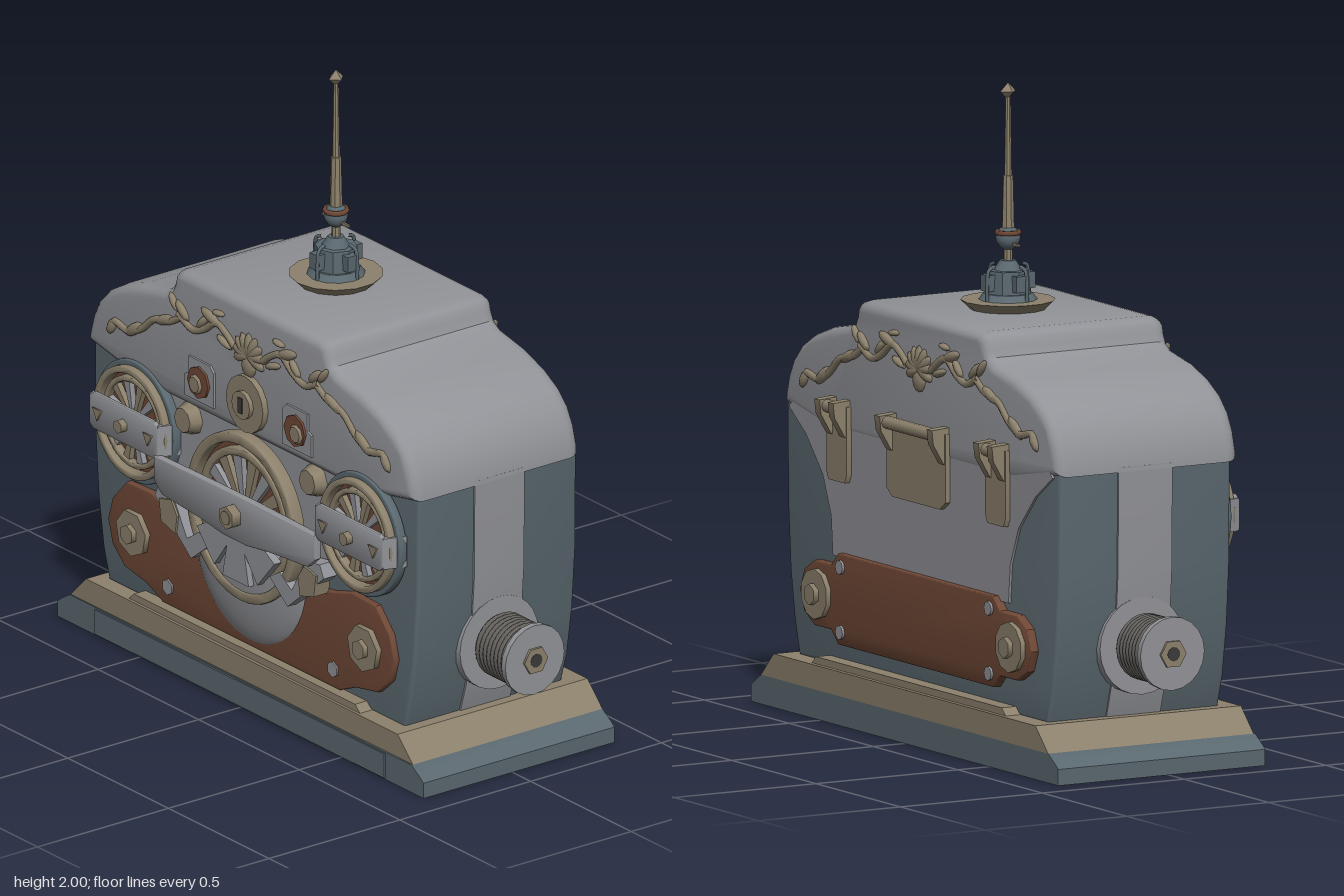
import * as THREE from 'three';
import { toCreasedNormals } from 'three/addons/utils/BufferGeometryUtils.js';

const mat = (name, color) => { const m = new THREE.MeshStandardMaterial({ color }); m.name = name; return m; };

export function createModel() {
  const root = new THREE.Group();
  root.name = 'clockworkMachine';
  const grey = mat('light grey metal', 0x929398), slate = mat('slate blue metal', 0x5a686f);
  const tan = mat('aged brass', 0x8c816c), rust = mat('rust brown', 0x704836);
  const coil = mat('dark coil', 0x66635f), dark = mat('dark hole', 0x3a3a3a);

  const add = (name, geo, m, x = 0, y = 0, z = 0, parent = root) => {
    const mesh = new THREE.Mesh(geo, m);
    mesh.name = name;
    mesh.position.set(x, y, z);
    parent.add(mesh);
    return mesh;
  };
  const box = (w, h, d) => new THREE.BoxGeometry(w, h, d);
  // Short cylinder whose axis lies along z or x
  const discZ = (r, d, n = 24, r2 = r) => new THREE.CylinderGeometry(r2, r, d, n).rotateX(Math.PI / 2);
  const discX = (r, d, n = 24) => new THREE.CylinderGeometry(r, r, d, n).rotateZ(Math.PI / 2);
  // Outline from points, optionally completed by mirroring in x
  const outline = (pts, mirror = true) => new THREE.Shape(
    (mirror ? [...pts, ...pts.map(([x, y]) => [-x, y]).reverse()] : pts).map(p => new THREE.Vector2(...p)));
  const extrude = (shape, z0, z1, bevel = 0, size = bevel) => toCreasedNormals(new THREE.ExtrudeGeometry(shape, {
    depth: z1 - z0 - 2 * bevel, bevelEnabled: bevel > 0, bevelThickness: bevel, bevelSize: size,
    bevelOffset: -size, bevelSegments: 4, curveSegments: 24 }).translate(0, 0, z0 + bevel), 0.6);
  const circle = (x, y, r) => new THREE.Path().absarc(x, y, r, 0, Math.PI * 2);
  const ring = (r0, r1, d) => {
    const s = new THREE.Shape().absarc(0, 0, r1, 0, Math.PI * 2);
    s.holes.push(circle(0, 0, r0));
    return extrude(s, 0, d, 0.005);
  };
  const tube = (pts, r, n = 20) => new THREE.TubeGeometry(
    new THREE.CatmullRomCurve3(pts.map(p => new THREE.Vector3(...p))), n, r, 6);

  // Stepped plinth
  add('plinthFoot', extrude(outline([[0.91, 0], [0.91, 0.05], [0.89, 0.065], [0.85, 0.09]]), -0.39, 0.34), slate);
  add('plinthSlope', extrude(outline([[0.85, 0.09], [0.82, 0.12], [0.795, 0.145], [0.775, 0.165]]), -0.39, 0.335), tan);
  add('frontLedge', extrude(outline([[0.58, 0.16], [0.55, 0.187]]), 0.27, 0.325), tan);
  add('backLedge', extrude(outline([[0.58, 0.16], [0.55, 0.187]]), -0.375, -0.31), tan);
  add('plinthFrontPanel', box(1.44, 0.08, 0.008), slate, 0, 0.045, 0.341);

  // Tapering case with a light band on each side
  const side = [[0.735, 0.16], [0.765, 0.26], [0.79, 0.42], [0.805, 0.62], [0.808, 0.94]];
  add('caseBody', extrude(outline(side), -0.325, 0.28, 0.012), slate);
  add('sideBand', extrude(outline(side.map(([x, y]) => [x + 0.006, y])), -0.12, 0.07), grey);

  // Domed lid
  const lid = [[0.55, 0.875], [0.815, 0.925], [0.812, 0.96], [0.795, 1.02], [0.765, 1.075], [0.72, 1.12],
    [0.65, 1.16], [0.55, 1.195], [0.43, 1.218], [0.4, 1.235], [0.388, 1.26], [0.382, 1.285], [0.37, 1.298], [0.34, 1.307]];
  add('lid', extrude(outline(lid), -0.335, 0.305, 0.04, 0.03), grey);

  // Turret and aerial
  const mast = new THREE.Group();
  mast.name = 'aerial';
  mast.position.z = -0.025;
  root.add(mast);
  const up = (name, r0, r1, y0, y1, n, m) =>
    add(name, toCreasedNormals(new THREE.CylinderGeometry(r1, r0, y1 - y0, n), 0.7), m, 0, (y0 + y1) / 2, 0, mast);
  up('turretDisc', 0.115, 0.145, 1.305, 1.335, 14, tan);
  up('turretFoot', 0.09, 0.075, 1.335, 1.355, 12, slate);
  up('turretCollar', 0.07, 0.065, 1.355, 1.425, 8, slate);
  up('turretTop', 0.045, 0.025, 1.425, 1.455, 8, slate);
  up('lowerRod', 0.014, 0.014, 1.44, 1.52, 8, tan);
  up('middleRod', 0.02, 0.016, 1.55, 1.715, 8, tan);
  up('upperRod', 0.012, 0.008, 1.715, 1.965, 8, tan);
  add('aerialTip', new THREE.OctahedronGeometry(0.027), tan, 0, 1.973, 0, mast);
  add('aerialBall', new THREE.SphereGeometry(0.038, 12, 8), slate, 0, 1.523, 0, mast);
  add('ballBand', new THREE.TorusGeometry(0.034, 0.008, 6, 16).rotateX(Math.PI / 2), rust, 0, 1.54, 0, mast);
  add('ballLever', box(0.13, 0.008, 0.008), tan, 0, 1.507, 0, mast);
  for (let i = 0; i < 4; i++) {
    const guard = add('turretGuard', tube([[0.055, 1.44, 0], [0.078, 1.43, 0], [0.085, 1.39, 0], [0.085, 1.335, 0]], 0.006), slate, 0, 0, 0, mast);
    guard.rotation.y = i * Math.PI / 2 + 0.2;
    const nub = add('turretLug', box(0.03, 0.05, 0.04), slate, 0.07 * Math.cos(i * 1.571), 1.39, 0.07 * Math.sin(i * 1.571), mast);
    nub.rotation.y = -i * Math.PI / 2;
  }

  // Scrollwork and shell crest, on front and back
  const addCrest = (z) => {
    const g = new THREE.Group();
    g.name = z > 0 ? 'frontCrest' : 'backCrest';
    g.position.z = z;
    root.add(g);
    const leaf = (x, y, l, w, a) => {
      const m = add('leaf', new THREE.SphereGeometry(1, 8, 6), tan, x, y, 0, g);
      m.scale.set(l, w, 0.014);
      m.rotation.z = a;
    };
    for (const s of [-1, 1]) {
      add('longScroll', tube([[0.69, 1.01, 0], [0.67, 1.04, 0], [0.6, 1.03, 0], [0.53, 1.06, 0], [0.47, 1.11, 0],
        [0.39, 1.13, 0], [0.33, 1.165, 0]].map(([x, y, k]) => [s * x, y, k]), 0.012), tan, 0, 0, 0, g);
      add('shortScroll', tube([[0.35, 1.17, 0], [0.28, 1.14, 0], [0.22, 1.16, 0], [0.16, 1.2, 0], [0.11, 1.18, 0],
        [0.07, 1.15, 0]].map(([x, y, k]) => [s * x, y, k]), 0.012), tan, 0, 0, 0, g);
      for (const [x, y, l, w, a] of [[0.68, 1.02, 0.035, 0.016, -1], [0.57, 1.045, 0.05, 0.018, -0.6],
        [0.42, 1.125, 0.05, 0.016, -0.4], [0.33, 1.185, 0.04, 0.015, 0.7], [0.37, 1.2, 0.035, 0.012, 0.9],
        [0.19, 1.21, 0.05, 0.017, 0.3], [0.15, 1.235, 0.03, 0.01, -0.1], [0.23, 1.18, 0.035, 0.013, -0.8],
        [0.12, 1.15, 0.04, 0.012, 0.3]]) leaf(s * x, y, l, w, s * a);
    }
    for (let i = 0; i < 9; i++) {
      const a = -0.35 + i * (Math.PI + 0.7) / 8;
      leaf(0.035 * Math.cos(a), 1.145 + 0.03 * Math.sin(a), 0.045, 0.018, a);
    }
    leaf(0, 1.11, 0.035, 0.035, 0);
  };
  addCrest(0.308);
  addCrest(-0.338);

  // Key plate and lamp windows
  add('keyDisc', discZ(0.092, 0.03, 16), tan, 0, 0.99, 0.31);
  add('keyBoss', discZ(0.045, 0.02, 12), tan, 0, 0.99, 0.33);
  add('keySlot', box(0.018, 0.05, 0.006), dark, 0, 0.99, 0.341);
  for (const s of [-1, 1]) {
    const frame = outline([[0.17, 0.915], [0.315, 0.915], [0.315, 0.985], [0.295, 0.995], [0.295, 1.05], [0.19, 1.05], [0.17, 1.03]]
      .map(([x, y]) => [s * x, y]), false);
    add('windowFrame', extrude(frame, 0.298, 0.312), grey);
    add('windowLamp', discZ(0.052, 0.012, 8), rust, s * 0.24, 0.98, 0.314);
    add('windowLens', discZ(0.035, 0.01, 8, 0.025), tan, s * 0.25, 0.972, 0.322);
    add('cornerBolt', discZ(0.055, 0.04, 8, 0.04), tan, s * 0.31, 0.835, 0.305);
  }

  // Front backing plates
  add('frontPanel', extrude(outline([[0.3, 0.5], [0.42, 0.56], [0.42, 0.9]]), 0.278, 0.287), grey);
  const rustPlate = outline([[0.44, 0.19], [0.52, 0.225], [0.63, 0.245], [0.69, 0.3], [0.712, 0.375], [0.69, 0.45], [0.62, 0.525],
    [0.5, 0.53], [0.4, 0.5], [0.2, 0.47]]);
  add('frontRustPlate', extrude(rustPlate, 0.275, 0.3, 0.005), rust);
  // Bulging gear housing
  const bowl = new THREE.SphereGeometry(0.285, 32, 12, 0, Math.PI, Math.PI / 2, Math.PI / 2).scale(1, 1, 0.2);
  add('gearBowl', bowl, grey, 0, 0.485, 0.285);

  // Spoked wheel facing the front
  const addWheel = (name, x, y, z, r, spokes) => {
    const g = new THREE.Group();
    g.name = name;
    g.position.set(x, y, z);
    root.add(g);
    add('wheelBack', discZ(r * 0.92, 0.02, 32), rust, 0, 0, 0, g);
    add('outerRim', ring(r * 0.88, r, 0.045), tan, 0, 0, 0, g);
    add('innerRim', ring(r * 0.72, r * 0.82, 0.035), tan, 0, 0, 0, g);
    add('wheelHub', discZ(r * 0.24, 0.04, 16), tan, 0, 0, 0.02, g);
    for (let i = 0; i < spokes; i++) {
      const spoke = add('spoke', extrude(outline([[r * 0.03, r * 0.2], [r * 0.085, r * 0.76]]), 0.005, 0.028), i % 2 ? tan : grey, 0, 0, 0, g);
      spoke.rotation.z = (i + 0.5) * 2 * Math.PI / spokes;
    }
    return g;
  };
  const big = addWheel('mainWheel', 0, 0.62, 0.297, 0.27, 16);
  // Bridge plate with arms across the main wheel
  add('bridgeBar', extrude(outline([[0.06, 0.555], [0.17, 0.57], [0.36, 0.585], [0.4, 0.62], [0.4, 0.7], [0.08, 0.705]]), 0.34, 0.365, 0.004), grey);
  for (const a of [-0.85, 0, 0.85]) {
    const arm = add('bridgeArm', extrude(outline([[0.065, -0.2], [0.03, -0.03]]), 0.035, 0.062), grey, 0, 0, 0, big);
    arm.rotation.z = a;
  }
  for (const s of [-1, 1]) {
    add('bridgeFoot', extrude(outline([[0.15, 0.48], [0.24, 0.41], [0.42, 0.56], [0.4, 0.6], [0.33, 0.59], [0.26, 0.47], [0.2, 0.51]]
      .map(([x, y]) => [s * x, y]), false), 0.295, 0.345), grey);
    add('gearBlock', extrude(outline([[0.31, 0.47], [0.38, 0.49], [0.39, 0.56], [0.33, 0.575], [0.3, 0.53]]
      .map(([x, y]) => [s * x, y]), false), 0.295, 0.352), tan);
  }
  add('mainNut', discZ(0.038, 0.05, 6), tan, 0, 0.635, 0.372);
  add('mainPin', discZ(0.022, 0.03, 12), tan, 0, 0.635, 0.385);

  for (const s of [-1, 1]) {
    // Side reels
    const reel = addWheel(s > 0 ? 'leftReel' : 'rightReel', s * 0.56, 0.745, 0.292, 0.18, 12);
    add('reelCasing', ring(0.172, 0.197, 0.03), slate, 0, 0, -0.008, reel);
    add('reelBar', extrude(outline([[0.15, -0.06], [0.17, -0.045], [0.17, 0.045], [0.15, 0.06]]), 0.05, 0.066, 0.004), grey, 0, 0, 0, reel);
    for (const e of [-1, 1]) {
      const strut = add('reelBarEnd', box(0.02, 0.1, 0.075), grey, e * 0.173, 0, 0.025, reel);
      strut.rotation.y = -e * 0.35;
      add('reelArrow', discZ(0.025, 0.008, 3), tan, e * 0.125, 0, 0.068, reel);
    }
    add('reelNut', discZ(0.022, 0.03, 6), tan, 0, 0, 0.073, reel);

    // Front plate washers and holes
    add('plateWasher', discZ(0.075, 0.02, 7), tan, s * 0.575, 0.375, 0.308);
    add('plateNut', discZ(0.032, 0.03, 6), tan, s * 0.575, 0.375, 0.32);
    add('plateRivet', discZ(0.026, 0.008, 6), grey, s * 0.41, 0.25, 0.302);

    // Side winding spools
    const spool = new THREE.Group();
    spool.name = s > 0 ? 'leftSpool' : 'rightSpool';
    spool.position.set(0, 0.385, -0.03);
    root.add(spool);
    add('spoolPlate', discX(0.15, 0.07), grey, s * 0.77, 0, 0, spool);
    add('spoolCore', discX(0.09, 0.17), coil, s * 0.885, 0, 0, spool);
    for (let i = 0; i < 8; i++)
      add('coilTurn', new THREE.TorusGeometry(0.09, 0.013, 6, 24).rotateY(Math.PI / 2), coil, s * (0.822 + i * 0.018), 0, 0, spool);
    add('spoolFlange', discX(0.113, 0.02, 20), grey, s * 0.972, 0, 0, spool);
    add('spoolNut', discX(0.045, 0.016, 6), tan, s * 0.982, 0, 0, spool);
    add('spoolNutHole', discX(0.022, 0.004, 12), dark, s * 0.989, 0, 0, spool);
  }

  // Back panel and rust plate
  add('backPanel', extrude(outline([[0.52, 0.5], [0.53, 0.62], [0.58, 0.74], [0.68, 0.85], [0.78, 0.92], [0.74, 0.96]]), -0.333, -0.322), grey);
  add('backRustPlate', extrude(outline([[0.46, 0.235], [0.5, 0.275], [0.6, 0.275], [0.66, 0.31], [0.685, 0.375], [0.66, 0.44],
    [0.6, 0.475], [0.5, 0.475], [0.46, 0.515]]), -0.352, -0.32, 0.005), rust);
  for (const s of [-1, 1]) {
    add('backWasher', discZ(0.078, 0.02, 10), tan, s * 0.575, 0.375, -0.358);
    add('backNut', discZ(0.033, 0.03, 6), tan, s * 0.575, 0.375, -0.37);
    for (const y of [0.275, 0.475]) add('backRivet', discZ(0.022, 0.012, 8), grey, s * 0.44, y, -0.354);
  }

  // Hanging hooks on the back
  const addHook = (name, x, w) => {
    const g = new THREE.Group();
    g.name = name;
    g.position.x = x;
    root.add(g);
    add('hookPlate', extrude(outline([[w * 0.4, 0.735], [w / 2, 0.76], [w / 2, 0.97]]), -0.35, -0.33), tan, 0, 0, 0, g);
    for (const e of [-1, 1]) {
      const lug = outline([[0.33, 0.99], [0.33, 0.86], [0.355, 0.88], [0.39, 0.94], [0.395, 0.985]], false);
      const geo = extrude(lug, -0.016, 0.016).rotateY(Math.PI / 2);
      add('hookLug', geo, tan, e * (w / 2 - 0.02), 0, 0, g);
    }
    add('hookRoll', discX(0.02, w - 0.02, 10), tan, 0, 0.965, -0.368, g);
  };
  addHook('centreHook', 0, 0.35);
  addHook('leftHook', 0.47, 0.12);
  addHook('rightHook', -0.47, 0.12);

  return root;
}
